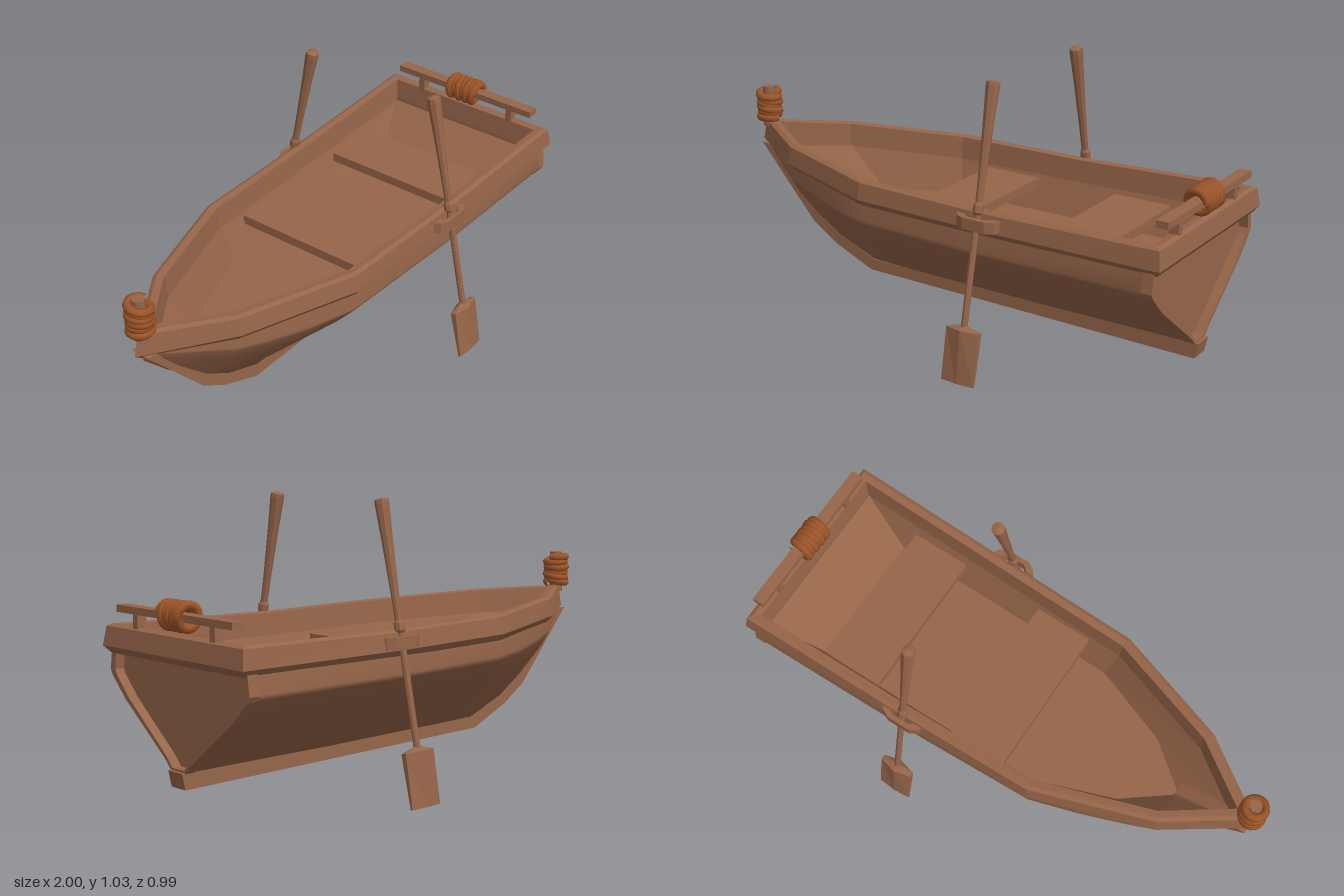
import * as THREE from 'three';

const wood = new THREE.MeshStandardMaterial({ color: 0x966549, side: THREE.DoubleSide });
wood.name = 'wood';
const rope = new THREE.MeshStandardMaterial({ color: 0x9c5428 });
rope.name = 'rope';

function add(parent, name, geometry, material = wood) {
  const mesh = new THREE.Mesh(geometry, material);
  mesh.name = name;
  parent.add(mesh);
  return mesh;
}

// Skin over rows of points; each row has the same number of points
function loft(rows, { loopRows = false, loopCols = false, smooth = false } = {}) {
  const n = rows.length, m = rows[0].length, index = [];
  for (let i = 0; i < (loopRows ? n : n - 1); i++) {
    for (let j = 0; j < (loopCols ? m : m - 1); j++) {
      const i2 = (i + 1) % n, j2 = (j + 1) % m;
      const a = i * m + j, b = i2 * m + j, c = i2 * m + j2, d = i * m + j2;
      index.push(a, b, c, a, c, d);
    }
  }
  let g = new THREE.BufferGeometry();
  g.setAttribute('position', new THREE.Float32BufferAttribute(rows.flat(2), 3));
  g.setIndex(index);
  if (!smooth) g = g.toNonIndexed();
  g.computeVertexNormals();
  return g;
}

function extrude(points, depth) {
  const shape = new THREE.Shape(points.map(p => new THREE.Vector2(...p)));
  return new THREE.ExtrudeGeometry(shape, { depth, bevelEnabled: false });
}

// Closed plan loop from one side's [x, z, ...] points, bow to stern
const mirrorLoop = side => [
  ...side,
  ...side.slice(1).reverse().map(([x, z, ...rest]) => [x, -z, ...rest]),
];

// Moves a plan loop inward by d with mitred corners
function inset(loop, d) {
  return loop.map((p, i) => {
    const a = loop[(i + loop.length - 1) % loop.length], b = loop[(i + 1) % loop.length];
    const normal = (s, e) => new THREE.Vector2(e[1] - s[1], s[0] - e[0]).normalize();
    const n1 = normal(a, p), n2 = normal(p, b);
    const k = d / (1 + n1.dot(n2));
    return [p[0] + (n1.x + n2.x) * k, p[1] + (n1.y + n2.y) * k];
  });
}

// Coil of rope wound along y, with slightly uneven turns
function coil(turns, length, radius, tube) {
  const pts = [];
  for (let i = 0; i <= turns * 12; i++) {
    const t = i / (turns * 12), a = t * turns * Math.PI * 2;
    const r = radius + 0.003 * Math.sin(t * 23);
    pts.push(new THREE.Vector3(
      r * Math.cos(a), (t - 0.5) * length + 0.006 * Math.sin(a * 0.9 + 1), r * Math.sin(a)));
  }
  return new THREE.TubeGeometry(new THREE.CatmullRomCurve3(pts), turns * 20, tube, 7);
}

export function createModel() {
  const boat = new THREE.Group();
  boat.name = 'rowingBoat';

  // Body of the boat, sitting slightly off the centre line between the oars
  const body = new THREE.Group();
  body.name = 'boatBody';
  body.position.z = -0.006;
  boat.add(body);

  // Gunwale: x, z, bottom y, top y
  const outline = mirrorLoop([
    [-0.985, 0, 0.51, 0.62], [-0.69, 0.203, 0.512, 0.61], [-0.24, 0.353, 0.5, 0.595],
    [0.3, 0.367, 0.5, 0.593], [0.982, 0.378, 0.51, 0.61],
  ]);
  // Its cross-section: inset, top or bottom, height offset
  const section = [[0.02, 0, 0], [0, 0, 0.025], [0.01, 1, -0.008], [0.024, 1, 0], [0.05, 1, -0.004], [0.06, 0, 0]];
  const layers = section.map(s => inset(outline, s[0]));
  add(body, 'gunwale', loft(outline.map((p, i) => section.map(([, top, dy], j) =>
    [layers[j][i][0], p[top ? 3 : 2] + dy, layers[j][i][1]])), { loopRows: true, loopCols: true }));

  // Inner walls sloping from under the gunwale down to the floor
  const floorY = 0.38;
  const floor = mirrorLoop([[-0.68, 0], [-0.5, 0.14], [-0.2, 0.25], [0.3, 0.26], [0.73, 0.26]]);
  const innerRim = inset(outline, 0.058);
  add(body, 'innerWallsAndFloor', loft(outline.map((p, i) => [
    [innerRim[i][0], p[2] + 0.01, innerRim[i][1]],
    [floor[i][0], floorY, floor[i][1]],
    [0.1, floorY, 0],
  ]), { loopRows: true }));

  // Hull: x, keel y, half width, top y
  const half = [[0.97, 1], [1, 0.79], [0.97, 0.74], [0.78, 0.55], [0.19, 0.1], [0.09, 0]];
  const profile = [...half.map(([z, y]) => [-z, y]), ...half.slice().reverse()];
  const stations = [
    [-0.95, 0.5, 0.015, 0.545], [-0.85, 0.4, 0.08, 0.54], [-0.69, 0.26, 0.185, 0.535],
    [-0.58, 0.195, 0.225, 0.53], [-0.42, 0.145, 0.28, 0.525], [-0.24, 0.145, 0.335, 0.52],
    [0.3, 0.145, 0.358, 0.52], [0.918, 0.15, 0.37, 0.53],
  ];
  const ring = ([x, keelY, w, topY]) => profile.map(([z, y]) => [x, keelY + y * (topY - keelY), z * w]);
  add(body, 'hull', loft(stations.map(ring), { smooth: true }));

  // Recessed transom with its surrounding edge band
  add(body, 'transom', loft([
    ring([0.915, 0.148, 0.374, 0.53]), ring([0.955, 0.148, 0.374, 0.53]), ring([0.955, 0.162, 0.348, 0.53]),
    ring([0.92, 0.162, 0.348, 0.53]), profile.map(() => [0.92, 0.53, 0]),
  ]));

  // Keel, following the bottom up to the bow, and the beam inside the bow
  const keel = add(body, 'keel', extrude([
    [0.955, 0.098], [0.968, 0.155], [-0.41, 0.152], [-0.57, 0.215], [-0.67, 0.285], [-0.9, 0.53],
    [-0.96, 0.53], [-0.71, 0.25], [-0.6, 0.18], [-0.43, 0.108],
  ], 0.075));
  keel.position.z = -0.0375;
  const beam = add(body, 'bowBeam', extrude([
    [-0.9, 0.5], [-0.67, 0.38], [-0.67, 0.435], [-0.9, 0.545],
  ], 0.045));
  beam.position.z = -0.0225;

  // Benches
  for (const [x, w] of [[0.013, 0.225], [0.567, 0.23]]) {
    add(body, 'bench', new THREE.BoxGeometry(w, 0.035, 0.58)).position.set(x, 0.48, 0);
  }

  // Stern rail on two posts
  add(body, 'sternRail', new THREE.BoxGeometry(0.045, 0.025, 0.62)).position.set(0.948, 0.667, -0.002);
  for (const z of [-0.206, 0.208]) {
    add(body, 'railPost', new THREE.BoxGeometry(0.035, 0.06, 0.026)).position.set(0.948, 0.628, z);
  }

  // Bow post and the two rope coils
  add(body, 'bowPost', new THREE.CylinderGeometry(0.024, 0.026, 0.16, 8)).position.set(-0.949, 0.675, 0);
  add(body, 'bowRope', coil(6, 0.11, 0.0355, 0.0155), rope).position.set(-0.949, 0.68, 0);
  const sternRope = add(body, 'sternRope', coil(7, 0.115, 0.037, 0.0155), rope);
  sternRope.rotation.x = Math.PI / 2;
  sternRope.position.set(0.945, 0.669, -0.004);

  // Oars with their brackets, one on each side
  const shaft = [[0, 0.19], [0.012, 0.19], [0.012, 0.592], [0.019, 0.6], [0.019, 0.626], [0.013, 0.636],
    [0.014, 0.72], [0.02, 0.92], [0.025, 1.03], [0.024, 1.045], [0, 1.052]].map(p => new THREE.Vector2(...p));
  const bladeRow = (y, w, t) => [[w, 0.4], [0, 1], [-w, 0.4], [-w, -0.4], [0, -1], [w, -0.4]]
    .map(([x, k]) => [x, y, k * t]);
  for (const turn of [0, Math.PI]) {
    const side = new THREE.Group();
    side.name = turn ? 'rightOarSet' : 'leftOarSet';
    side.position.x = 0.287;
    side.rotation.y = turn;
    boat.add(side);

    const oar = new THREE.Group();
    oar.name = 'oar';
    oar.position.set(0, 0.004, 0.484);
    oar.rotation.x = -0.206;
    side.add(oar);
    const shaftGeometry = new THREE.LatheGeometry(shaft, 8).toNonIndexed();
    shaftGeometry.computeVertexNormals();
    add(oar, 'oarShaft', shaftGeometry);
    add(oar, 'oarBlade', loft([
      bladeRow(0, 0, 0), bladeRow(0, 0.066, 0.011), bladeRow(0.19, 0.066, 0.027), bladeRow(0.21, 0, 0),
    ], { loopCols: true }));

    // Arched bracket around the shaft
    const bracket = extrude([
      [-0.088, 0.355], [-0.06, 0.355], [-0.035, 0.376], [0.035, 0.376], [0.06, 0.355],
      [0.088, 0.355], [0.075, 0.378], [0.045, 0.394], [-0.045, 0.394], [-0.075, 0.378],
    ], 0.042);
    bracket.rotateX(Math.PI / 2);
    add(side, 'oarBracket', bracket).position.y = 0.574;
  }
  return boat;
}
